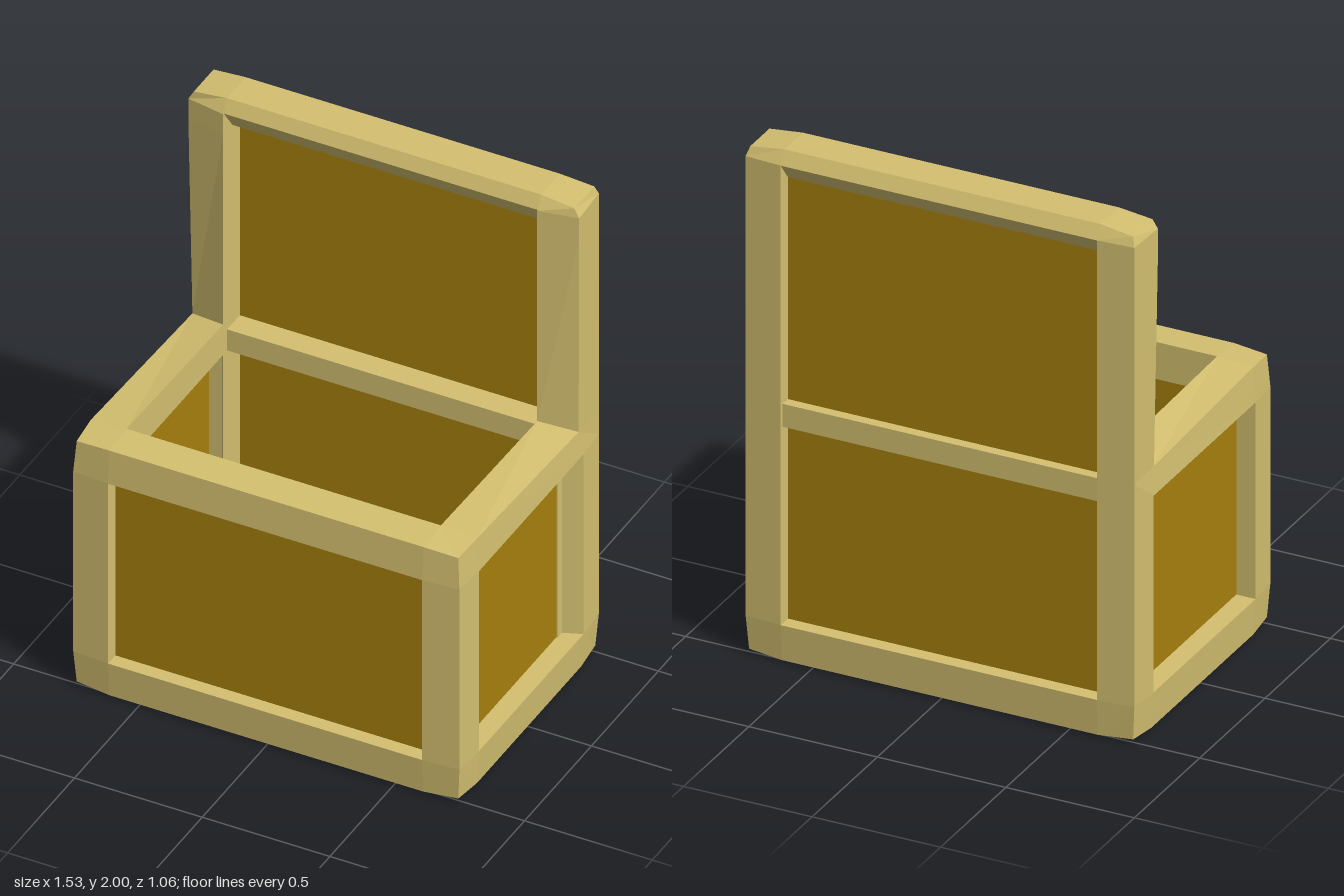
import * as THREE from 'three';

// Lattice lines the frame timbers follow
const XS = [-0.765, -0.615, 0.615, 0.765];
const YS = [0, 0.15, 0.92, 1.065, 1.86, 1.95, 2];
const ZS = [-0.53, -0.33, 0.39, 0.53];

// Which lattice cells hold timber: two rings, four posts, two tall back posts
function solid(i, j, k) {
  if (i < 0 || i > 2 || j < 0 || j > 5 || k < 0 || k > 2) return false;
  if (j === 0) return i !== 1 || k !== 1;
  if (j === 1) return i !== 1 && k !== 1;
  if (j === 2) return i !== 1 || k === 2;
  return k === 0 && i !== 1;
}

// Lattice point with the outer edges and corners pulled in a little
function latticePoint(i, j, k) {
  let x = XS[i], y = YS[j], z = ZS[k];
  const ox = i === 0 || i === 3;
  const oz = k === 0 || k === 3;
  const oy = j === 0 || j === 6 || (j === 3 && k > 0);
  const pull = 0.009;
  if (ox) x -= Math.sign(x) * pull * ((oy ? 1 : 0) + (oz ? 1 : 0));
  if (oz) z -= Math.sign(z) * pull * ((oy && j < 6 ? 1 : 0) + (ox ? 1 : 0));
  if (oy) y += (j === 0 ? 1 : -1) * pull * ((ox ? 1 : 0) + (oz ? 1 : 0));
  // Front faces of the back posts slant toward the outside
  if (k === 1 && ox) z = j < 3 ? -0.39 : j === 3 ? -0.37 : -0.357;
  // Side rails dip toward the hinge
  if (j === 3 && k < 2) y = ox ? 1.025 : 1.05;
  // Bevelled lid top
  if (j === 6) {
    y = ox ? 1.985 : 2;
    if (ox) x = Math.sign(x) * 0.745;
    z = k === 0 ? (ox ? -0.507 : -0.5) : -0.36;
  }
  return [x, y, z];
}

function frameGeometry() {
  const pos = [];
  for (let i = 0; i < 3; i++) for (let j = 0; j < 6; j++) for (let k = 0; k < 3; k++) {
    if (!solid(i, j, k)) continue;
    for (let a = 0; a < 3; a++) for (const s of [1, -1]) {
      const n = [i, j, k];
      n[a] += s;
      if (solid(...n)) continue;
      const corner = (u, v) => {
        const p = [i, j, k];
        if (s > 0) p[a]++;
        p[(a + 1) % 3] += u;
        p[(a + 2) % 3] += v;
        return latticePoint(...p);
      };
      const q = [corner(0, 0), corner(1, 0), corner(1, 1), corner(0, 1)];
      if (s < 0) q.reverse();
      for (const m of [0, 1, 2, 0, 2, 3]) pos.push(...q[m]);
    }
  }
  const g = new THREE.BufferGeometry();
  g.setAttribute('position', new THREE.Float32BufferAttribute(pos, 3));
  g.computeVertexNormals();
  return g;
}

export function createModel() {
  const model = new THREE.Group();
  model.name = 'openChest';
  const frameMat = new THREE.MeshStandardMaterial({ name: 'paleWood', color: 0xd4c070 });
  const panelMat = new THREE.MeshStandardMaterial({ name: 'darkWood', color: 0xa6800c });

  const add = (name, geometry, material) => {
    const mesh = new THREE.Mesh(geometry, material);
    mesh.name = name;
    model.add(mesh);
    return mesh;
  };
  // Box given by its extents on each axis
  const block = (name, [x0, x1], [y0, y1], [z0, z1], material) =>
    add(name, new THREE.BoxGeometry(x1 - x0, y1 - y0, z1 - z0), material)
      .position.set((x0 + x1) / 2, (y0 + y1) / 2, (z0 + z1) / 2);

  add('frame', frameGeometry(), frameMat);

  // Lid top rail, a six-sided bar between the tall posts
  const section = new THREE.Shape([
    [0.335, 1.95], [0.4, 1.86], [0.46, 1.86], [0.53, 1.95], [0.5, 2], [0.36, 2],
  ].map(([d, y]) => new THREE.Vector2(d, y)));
  const rail = new THREE.ExtrudeGeometry(section, { depth: 1.23, bevelEnabled: false });
  rail.rotateY(Math.PI / 2).translate(-0.615, 0, 0);
  add('lidTopRail', rail, frameMat);

  // Hinge rail between chest and lid
  block('hingeRail', [-0.63, 0.63], [0.92, 1.01], [-0.515, -0.36], frameMat);

  // Recessed panels
  const W = [-0.64, 0.64];
  block('frontPanel', W, [0.13, 0.94], [0.455, 0.475], panelMat);
  block('backPanel', W, [0.13, 0.94], [-0.475, -0.455], panelMat);
  block('lidPanel', W, [0.99, 1.88], [-0.475, -0.455], panelMat);
  block('floorPanel', W, [0.055, 0.075], [-0.36, 0.41], panelMat);
  for (const [side, s] of [['left', 1], ['right', -1]]) {
    const span = (a, b) => (s > 0 ? [a, b] : [-b, -a]);
    block(side + 'Panel', span(0.67, 0.69), [0.13, 0.94], [-0.38, 0.41], panelMat);
    // Batten closing the gap beside the slanted back post
    block(side + 'Batten', span(0.62, 0.695), [0.14, 0.93], [-0.39, -0.33], frameMat);
  }
  return model;
}
